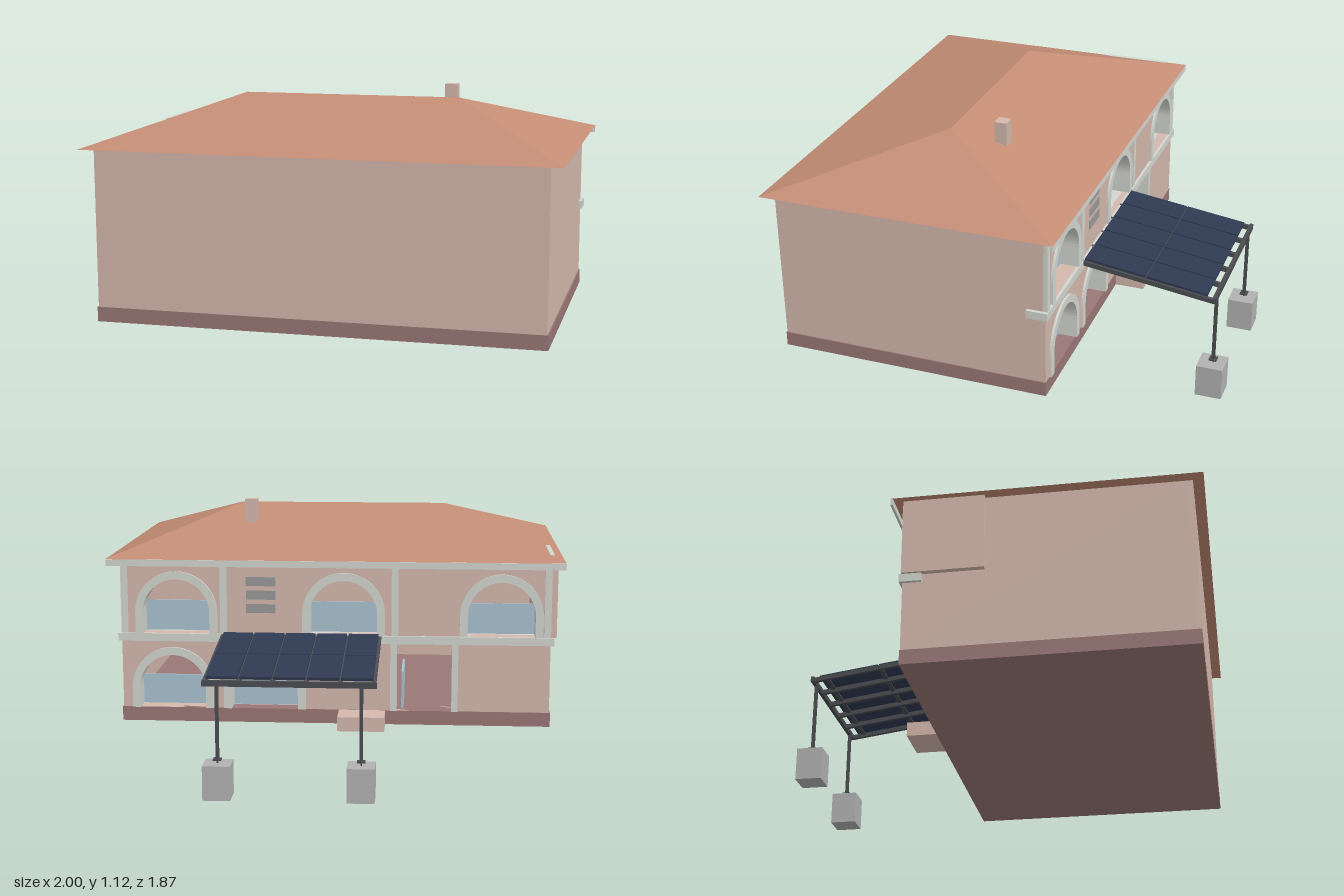
import * as THREE from 'three';

const mat = (color, side = THREE.FrontSide) =>
  new THREE.MeshStandardMaterial({ color, side, flatShading: true });

export function createModel() {
  const house = new THREE.Group();
  house.name = 'house';
  const wall = mat(0xd4b8ac), plinth = mat(0x9a7876), roofMat = mat(0xc48d75, THREE.DoubleSide);
  const trim = mat(0xd3d6d0), glass = mat(0xa9c3d0), steel = mat(0x4a4c50);
  const concrete = mat(0xb2b2b2), solar = mat(0x2f3a52), grey = mat(0x9a9a9a);

  const add = (name, geometry, material, parent = house) => {
    const mesh = new THREE.Mesh(geometry, material);
    mesh.name = name;
    parent.add(mesh);
    return mesh;
  };
  // box given by its limits on each axis
  const box = (name, m, x0, x1, y0, y1, z0, z1, parent = house) => {
    const b = add(name, new THREE.BoxGeometry(x1 - x0, y1 - y0, z1 - z0), m, parent);
    b.position.set((x0 + x1) / 2, (y0 + y1) / 2, (z0 + z1) / 2);
    return b;
  };
  const rect = (path, x0, x1, y0, y1) => {
    path.moveTo(x0, y0).lineTo(x1, y0).lineTo(x1, y1).lineTo(x0, y1).closePath();
    return path;
  };
  const archPath = (path, x, y0, spring, r) => {
    path.moveTo(x - r, y0);
    path.lineTo(x + r, y0);
    path.lineTo(x + r, spring);
    path.absarc(x, spring, r, 0, Math.PI, false);
    path.closePath();
    return path;
  };
  const extrude = (name, shape, m, z0, z1) => {
    const g = new THREE.ExtrudeGeometry(shape, { depth: z1 - z0, bevelEnabled: false, curveSegments: 16 });
    add(name, g, m).position.z = z0;
  };

  // plinth and plain walls of the hollow body
  box('plinth', plinth, -0.95, 0.95, 0.165, 0.228, -0.302, 0.892);
  box('frontWall', wall, -0.945, 0.945, 0.228, 0.9, 0.87, 0.89);
  for (const s of [-1, 1]) {
    const x = s * 0.935;
    box('sideWall', wall, x - 0.01, x + 0.01, 0.228, 0.9, -0.3, 0.87);
  }

  // rear wall with arched openings and a porch
  const arches = [
    ...[-0.73, -0.04, 0.7].map(x => ({ x, y: 0.565, spring: 0.66, top: 0.7 })),
    ...[0.31, 0.72].map(x => ({ x, y: 0.228, spring: 0.32, top: 0.36 })),
  ];
  const rIn = 0.15, rOut = 0.182;
  const rear = rect(new THREE.Shape(), -0.925, 0.925, 0.22, 0.9);
  for (const a of arches) rear.holes.push(archPath(new THREE.Path(), a.x, a.y, a.spring, rIn));
  rear.holes.push(rect(new THREE.Path(), -0.52, -0.27, 0.228, 0.52));
  extrude('rearWall', rear, wall, -0.3, -0.22);

  // arch surrounds and the glazing set back in each opening
  for (const a of arches) {
    const ring = new THREE.Shape();
    ring.moveTo(a.x + rIn - 0.003, a.y);
    ring.lineTo(a.x + rOut, a.y);
    ring.lineTo(a.x + rOut, a.spring);
    ring.absarc(a.x, a.spring, rOut, 0, Math.PI, false);
    ring.lineTo(a.x - rOut, a.y);
    ring.lineTo(a.x - rIn + 0.003, a.y);
    ring.lineTo(a.x - rIn + 0.003, a.spring);
    ring.absarc(a.x, a.spring, rIn - 0.003, Math.PI, 0, true);
    extrude('archSurround', ring, trim, -0.31, -0.219);
    box('windowPane', glass, a.x - rIn, a.x + rIn, a.y, a.top, -0.225, -0.215);
  }

  // string course, pilasters and rear gutter
  box('stringCourse', trim, -0.96, 0.96, 0.53, 0.565, -0.312, -0.22);
  for (const x of [-0.93, -0.265, 0.49, 0.93])
    box('upperPilaster', trim, x - 0.015, x + 0.015, 0.565, 0.895, -0.308, -0.29);
  for (const x of [-0.53, -0.26])
    box('porchPilaster', trim, x - 0.014, x + 0.014, 0.228, 0.53, -0.308, -0.22);
  box('gutter', trim, -1, 1, 0.87, 0.899, -0.348, -0.338);
  box('porchGlass', glass, -0.305, -0.295, 0.235, 0.4, -0.28, -0.02);
  box('porchStep', wall, -0.225, -0.02, 0.165, 0.228, -0.435, -0.3);

  // louvred vent on the upper rear wall
  for (let i = 0; i < 3; i++)
    box('ventSlat', grey, 0.26, 0.39, 0.66 + i * 0.06, 0.7 + i * 0.06, -0.304, -0.299);

  // side panel and its top rail that pierces the roof
  box('sidePanel', wall, -0.97, -0.945, 0.565, 0.9, -0.3, 0.04);
  box('sidePanelRail', trim, -0.956, -0.936, 0.88, 0.924, -0.255, 0.04);

  // hipped roof: eaves 0-3, ridge 4-5
  const hip = new THREE.BufferGeometry();
  hip.setAttribute('position', new THREE.Float32BufferAttribute([
    -1, 0.9, -0.35, 1, 0.9, -0.35, 1, 0.9, 0.935, -1, 0.9, 0.935,
    -0.475, 1.085, 0.29, 0.475, 1.085, 0.29], 3));
  hip.setIndex([3, 2, 5, 3, 5, 4, 1, 0, 4, 1, 4, 5, 2, 1, 5, 0, 3, 4, 0, 1, 2, 0, 2, 3]);
  const hipFlat = hip.toNonIndexed();
  hipFlat.computeVertexNormals();
  add('roof', hipFlat, roofMat);
  box('chimney', wall, 0.38, 0.435, 0.98, 1.122, 0.055, 0.11);

  // sloping solar canopy: frame with two rows of five panels
  const canopy = new THREE.Group();
  canopy.name = 'solarCanopy';
  canopy.position.set(0.147, 0.57, -0.302);
  canopy.rotation.x = -0.136;
  house.add(canopy);
  const w = 0.138, half = 2.5 * w;
  for (let i = 0; i <= 5; i++) {
    const x = -half + i * w;
    box('rafter', steel, x - 0.008, x + 0.008, -0.024, -0.004, -0.59, 0, canopy);
  }
  for (const z of [-0.03, -0.28, -0.53])
    box('purlin', steel, -half, half, -0.012, -0.002, z - 0.01, z + 0.01, canopy);
  for (let i = 0; i < 5; i++)
    for (let j = 0; j < 2; j++) {
      const x = -half + i * w, z = -0.56 + j * 0.275;
      box('solarPanel', solar, x + 0.004, x + w - 0.004, -0.004, 0.007, z + 0.003, z + 0.272, canopy);
    }

  // cross beam, posts and footings
  box('crossBeam', steel, -0.21, 0.5, 0.468, 0.492, -0.893, -0.877);
  for (const x of [-0.148, 0.44]) {
    box('post', steel, x - 0.007, x + 0.007, 0.16, 0.475, -0.89, -0.876);
    box('basePlate', steel, x - 0.017, x + 0.017, 0.158, 0.164, -0.9, -0.866);
    box('anchorBolt', steel, x - 0.003, x + 0.003, 0.14, 0.16, -0.886, -0.88);
    box('footing', concrete, x - 0.057, x + 0.057, 0, 0.145, -0.937, -0.822);
  }
  return house;
}
